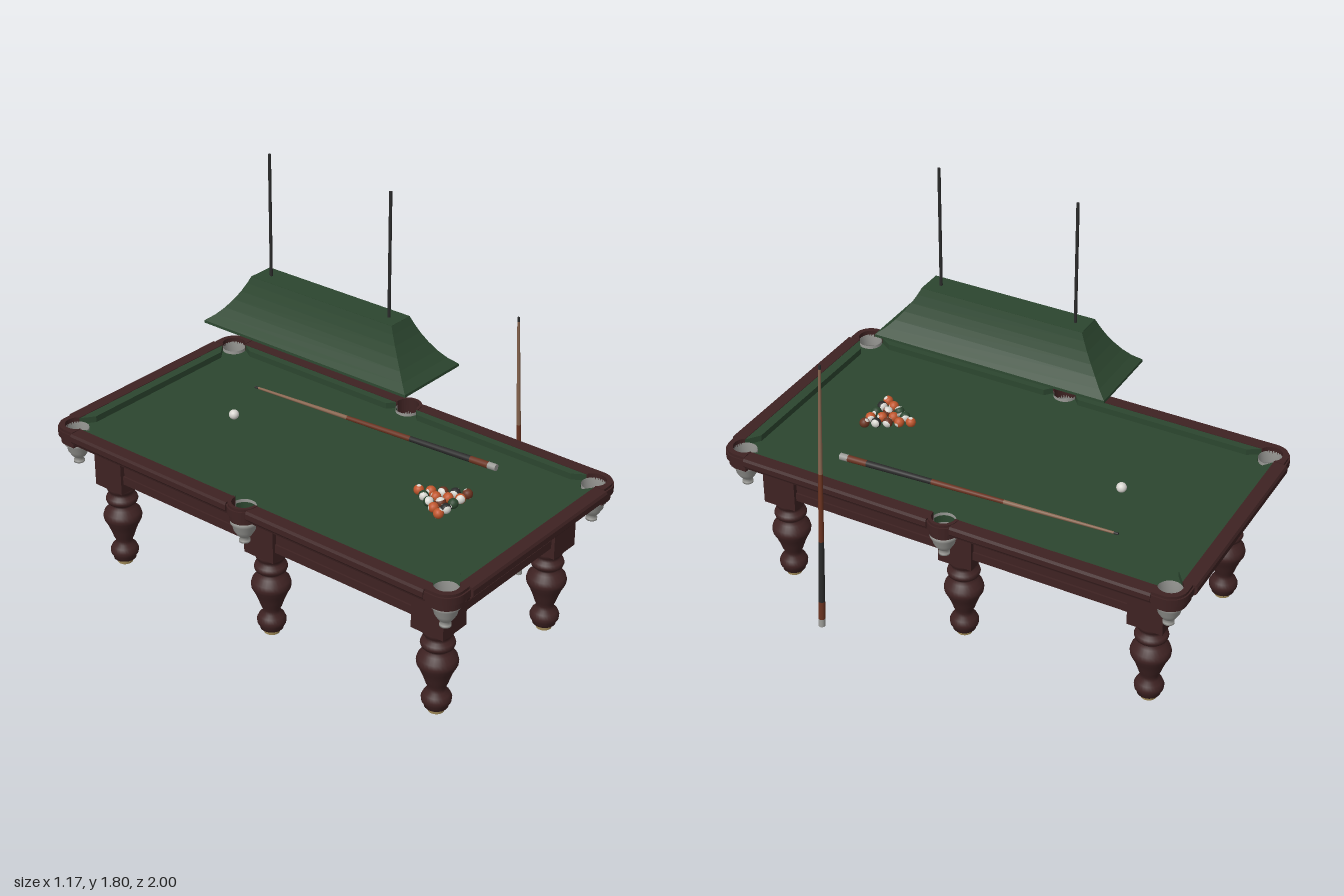
import * as THREE from 'three';

const mat = (name, color) => Object.assign(new THREE.MeshStandardMaterial({ color, side: THREE.FrontSide }), { name });
const wood = mat('mahogany', 0x3e2222);
const cloth = mat('green cloth', 0x2c462f);
const metal = mat('pocket grey', 0x9a9a96);
const brass = mat('brass', 0xa08a58);
const ivory = mat('ivory', 0xd8d6d0);
const orange = mat('orange', 0xc0562c);
const black = mat('black', 0x2a2a2a);
const redwood = mat('red wood', 0x6a3320);
const tan = mat('tan wood', 0x86644e);
const shade = mat('lamp green', 0x2c462f);
shade.side = metal.side = THREE.DoubleSide;

const HX = 0.545, HZ = 1, TOP = 0.65, BED = 0.622;
const POCKET = [0.465, 0.913], SIDE_X = 0.495;

function add(parent, name, geo, material, x = 0, y = 0, z = 0) {
  const m = new THREE.Mesh(geo, material);
  m.name = name;
  m.position.set(x, y, z);
  parent.add(m);
  return m;
}
const box = (w, h, d) => new THREE.BoxGeometry(w, h, d);
const lathe = (pts, n = 28) => new THREE.LatheGeometry(pts.map(p => new THREE.Vector2(...p)), n);

// Points of an arc in degrees, in the x-z plane
function arc(cx, cz, r, a0, a1, n = 14) {
  return Array.from({ length: n + 1 }, (_, i) => {
    const a = THREE.MathUtils.degToRad(a0 + (a1 - a0) * i / n);
    return [cx + r * Math.cos(a), cz + r * Math.sin(a)];
  });
}

// Flat plate outlined in x-z, extruded downwards from its origin
function plate(points, depth, sx = 1, sz = 1) {
  const s = new THREE.Shape(points.map(([x, z]) => new THREE.Vector2(x * sx, z * sz)));
  return new THREE.ExtrudeGeometry(s, { depth, bevelEnabled: false }).rotateX(Math.PI / 2);
}

// Stacked rectangles [halfX, halfZ, y, cornerCut], bottom to top
function loft(levels) {
  const rings = levels.map(([x, z, y, c = 0]) => {
    const p = c > 0
      ? [[x - c, z], [x, z - c], [x, c - z], [x - c, -z], [c - x, -z], [-x, c - z], [-x, z - c], [c - x, z]]
      : [[x, z], [x, -z], [-x, -z], [-x, z]];
    return p.map(q => [q[0], y, q[1]]);
  });
  const pos = [];
  for (let k = 0; k + 1 < rings.length; k++) {
    const lo = rings[k], hi = rings[k + 1], n = lo.length;
    for (let i = 0; i < n; i++) {
      const j = (i + 1) % n;
      pos.push(...lo[i], ...lo[j], ...hi[j], ...lo[i], ...hi[j], ...hi[i]);
    }
  }
  const g = new THREE.BufferGeometry();
  g.setAttribute('position', new THREE.Float32BufferAttribute(pos, 3));
  g.computeVertexNormals();
  return g;
}

function makeBed(table) {
  // Bed with notches for the six pockets
  const q = [[0.487, 0.046], [0.487, 0.87], ...arc(...POCKET, 0.049, -63, -217), [0.425, 0.942]];
  const side = arc(SIDE_X, 0, 0.046, 260, 100);
  const right = [...side, ...q.slice(1)];
  const left = right.map(([x, z]) => [-x, z]);
  const back = q.slice(1).map(([x, z]) => [x, -z]);
  const outline = [...right, ...left.slice(side.length).reverse(), ...left.slice(0, side.length).reverse(),
    ...back.map(([x, z]) => [-x, z]), ...back.slice().reverse()];
  add(table, 'cloth bed', plate(outline, 0.03), cloth, 0, BED, 0);

  for (const s of [1, -1]) {
    for (const t of [1, -1]) {
      add(table, 'side cushion', plate([[0.488, 0.05], [0.455, 0.078], [0.455, 0.815], [0.488, 0.868]], 0.027, s, t), cloth, 0, 0.648, 0);
    }
    add(table, 'end cushion', plate([[-0.425, 0.942], [-0.37, 0.902], [0.37, 0.902], [0.425, 0.942]], 0.027, 1, s), cloth, 0, 0.648, 0);
  }
}

function makeRails(table) {
  const profile = new THREE.Shape([[-0.058, 0.605], [-0.012, 0.605], [-0.004, 0.612], [0, 0.618], [0, 0.64], [-0.006, TOP], [-0.058, TOP]]
    .map(p => new THREE.Vector2(...p)));
  const rail = (length, x, z, turn) => {
    const g = new THREE.ExtrudeGeometry(profile, { depth: length, bevelEnabled: false }).translate(0, 0, -length / 2);
    add(table, 'rail', g, wood, x, 0, z).rotation.y = turn;
  };
  for (const s of [1, -1]) {
    for (const t of [1, -1]) rail(0.82, s * HX, t * 0.46, s > 0 ? 0 : Math.PI);
    rail(0.85, 0, s * HZ, -s * Math.PI / 2);
  }
  // Stepped moulding below the rails
  const steps = [[0.12, 0.525], [0.115, 0.538], [0.09, 0.54], [0.085, 0.553], [0.065, 0.562], [0.06, 0.572], [0.04, 0.576], [0.035, 0.592], [0.018, 0.596], [0.014, 0.61]];
  add(table, 'rail moulding', loft(steps.map(([d, y]) => [HX - d, HZ - d, y, 0.1 - d * 0.75])), wood);
  // Underside of the slate
  add(table, 'underside', new THREE.PlaneGeometry(0.87, 1.78).rotateX(Math.PI / 2), wood, 0, 0.527, 0);
}

function makePockets(table) {
  const cup = [[0.012, 0.48], [0.022, 0.482], [0.022, 0.49], [0.014, 0.498], [0.028, 0.512], [0.042, 0.535], [0.047, 0.56], [0.054, 0.565], [0.054, 0.578], [0.047, 0.582], [0.048, 0.635]];
  const corner = r => [[0.425, POCKET[1] + r], ...arc(...POCKET, r, 90, 0), [POCKET[0] + r, 0.87], [0.487, 0.87], ...arc(...POCKET, 0.048, -63, 143, 18), [0.425, 0.943]];
  const middle = r => [...arc(SIDE_X, 0, r, 75, -75), [0.487, -0.06], ...arc(SIDE_X, 0, 0.047, -95, 95, 18), [0.487, 0.06]];
  const tiers = [[0.07, 0.653, 0.012], [0.076, 0.642, 0.03], [0.066, 0.612, 0.03]];
  for (const s of [1, -1]) {
    for (const t of [1, -1]) {
      for (const [r, y, h] of tiers) add(table, 'corner bracket', plate(corner(r), h, s, t), wood, 0, y, 0);
      add(table, 'corner pocket', lathe(cup), metal, s * POCKET[0], 0, t * POCKET[1]);
    }
    for (const [r, y, h] of tiers) add(table, 'side bracket', plate(middle(r - 0.01), h, s, 1), wood, 0, y, 0);
    add(table, 'side pocket', lathe(cup), metal, s * SIDE_X, 0, 0);
  }
}

function makeLegs(table) {
  const turned = [[0.036, 0.018], [0.046, 0.022], [0.046, 0.032], [0.056, 0.045], [0.058, 0.062], [0.05, 0.08], [0.036, 0.092], [0.034, 0.108], [0.042, 0.125],
    [0.052, 0.155], [0.064, 0.185], [0.077, 0.21], [0.079, 0.225], [0.074, 0.243], [0.055, 0.262], [0.046, 0.272], [0.046, 0.28],
    [0.062, 0.29], [0.066, 0.302], [0.062, 0.314], [0.048, 0.322], [0.048, 0.335], [0.058, 0.345], [0.06, 0.358], [0.056, 0.372]];
  for (const s of [1, -1]) {
    for (const z of [-0.8, 0, 0.8]) {
      add(table, 'turned leg', lathe(turned), wood, s * 0.35, 0, z);
      add(table, 'foot', new THREE.CylinderGeometry(0.033, 0.031, 0.022, 24), brass, s * 0.35, 0.011, z);
      add(table, 'leg block', box(0.14, 0.17, 0.145), wood, s * 0.35, 0.455, z);
    }
    // Aprons with a thicker lower band
    for (const t of [1, -1]) {
      add(table, 'side apron', box(0.03, 0.12, 0.66), wood, s * 0.385, 0.475, t * 0.4);
      add(table, 'side apron band', box(0.045, 0.035, 0.66), wood, s * 0.385, 0.4325, t * 0.4);
    }
    add(table, 'end apron', box(0.57, 0.12, 0.03), wood, 0, 0.475, s * 0.835);
    add(table, 'end apron band', box(0.57, 0.035, 0.045), wood, 0, 0.4325, s * 0.835);
  }
}

function makeBalls(table) {
  const R = 0.0205, y = BED + R;
  add(table, 'cue ball', new THREE.SphereGeometry(R, 20, 14), ivory, 0, y, -0.495);
  const colours = [orange, black, redwood, cloth, orange];
  let n = 0;
  for (let row = 0; row < 5; row++) {
    for (let i = 0; i <= row; i++, n++) {
      const ball = new THREE.Group();
      ball.name = 'ball';
      ball.position.set((i - row / 2) * 0.0455, y, 0.437 + row * 0.04);
      ball.rotation.set(n * 1.3, 0, n * 0.9);
      // Striped balls have ivory caps, plain ones small ivory spots
      const cap = n % 2 ? 1.0 : 0.45, c = colours[(n * 2 + row) % 5];
      for (const [a, len, m] of [[0, cap, ivory], [cap, Math.PI - 2 * cap, c], [Math.PI - cap, cap, ivory]]) {
        add(ball, 'ball face', new THREE.SphereGeometry(R, 18, 6, 0, Math.PI * 2, a, len), m);
      }
      table.add(ball);
    }
  }
}

function makeCue(butt, tip) {
  const cue = new THREE.Group();
  cue.name = 'cue';
  const a = new THREE.Vector3(...butt), d = new THREE.Vector3(...tip).sub(a), L = d.length();
  const r = t => 0.0145 - 0.0095 * t;
  const parts = [['bumper', 0, 0.03, metal], ['butt ring', 0.03, 0.1, redwood], ['grip', 0.1, 0.34, black], ['forearm', 0.34, 0.6, redwood], ['shaft', 0.6, 0.985, tan], ['tip', 0.985, 1, black]];
  for (const [name, t0, t1, m] of parts) {
    add(cue, name, new THREE.CylinderGeometry(r(t1), r(t0), (t1 - t0) * L, 14), m, 0, (t0 + t1) / 2 * L, 0);
  }
  cue.position.copy(a);
  cue.quaternion.setFromUnitVectors(new THREE.Vector3(0, 1, 0), d.normalize());
  return cue;
}

function makeLamp() {
  const lamp = new THREE.Group();
  lamp.name = 'lamp';
  const levels = [[0.163, 0.487, 1.115], [0.162, 0.486, 1.125], [0.135, 0.453, 1.15], [0.112, 0.424, 1.18], [0.092, 0.396, 1.215], [0.076, 0.372, 1.25], [0.063, 0.352, 1.285], [0.054, 0.338, 1.313]];
  add(lamp, 'lamp shade', loft(levels), shade);
  add(lamp, 'lamp top', box(0.108, 0.006, 0.676), shade, 0, 1.311, 0);
  for (const s of [1, -1]) {
    add(lamp, 'hanging rod', new THREE.CylinderGeometry(0.006, 0.006, 0.495, 12), black, 0, 1.5575, s * 0.284);
    add(lamp, 'light tube', new THREE.CylinderGeometry(0.02, 0.02, 0.74, 16).rotateX(Math.PI / 2), ivory, s * 0.045, 1.155, 0);
  }
  return lamp;
}

export function createModel() {
  const model = new THREE.Group();
  model.name = 'billiard table set';
  const table = new THREE.Group();
  table.name = 'table';
  table.position.x = -0.028;
  makeBed(table);
  makeRails(table);
  makePockets(table);
  makeLegs(table);
  makeBalls(table);
  table.add(makeLamp());
  model.add(table);
  model.add(makeCue([0.568, 0.003, 0.509], [0.497, 1.183, 0.498]));
  model.add(makeCue([0.3, BED + 0.0145, 0.56], [0.225, BED + 0.006, -0.605]));
  return model;
}
